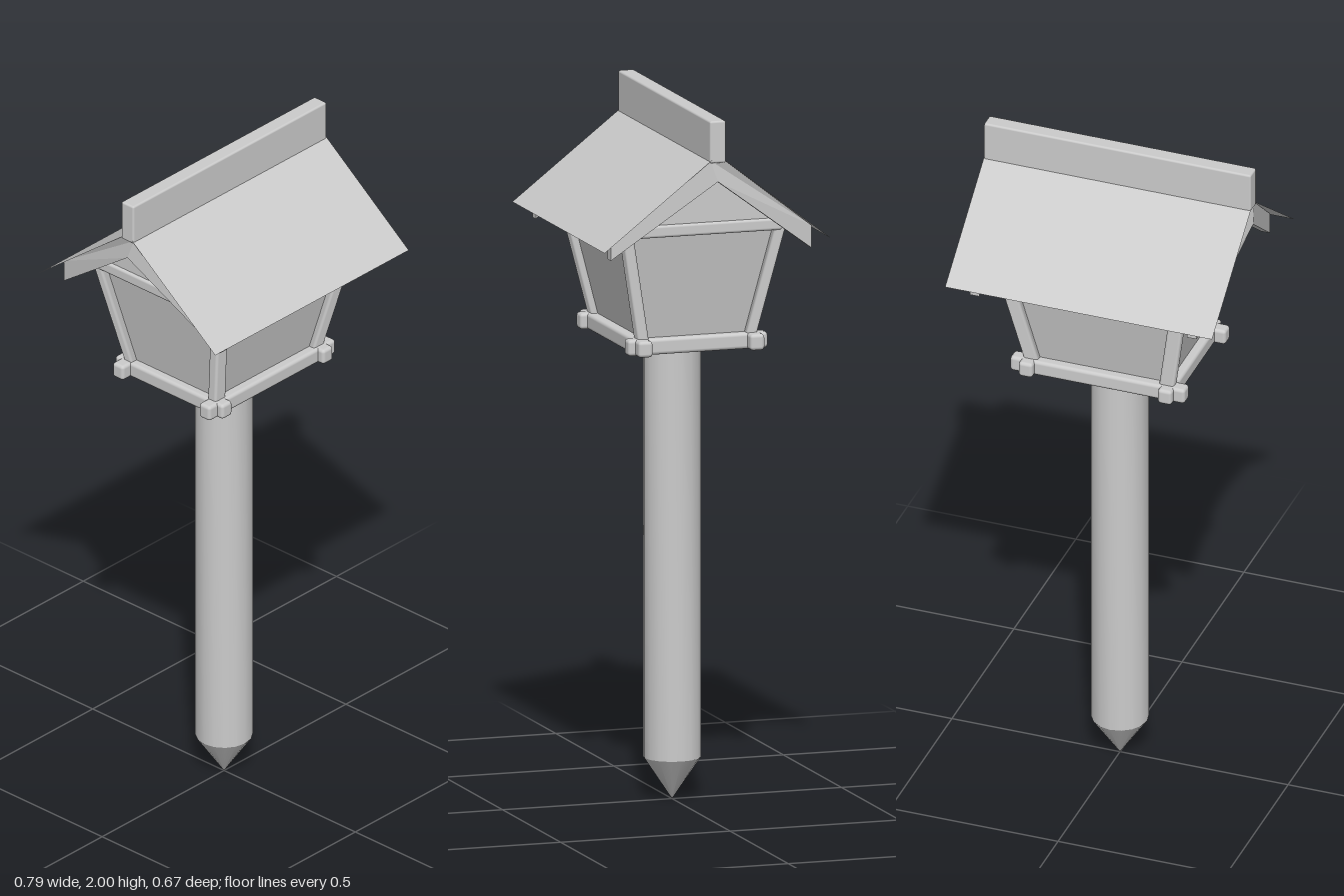
import * as THREE from 'three';
import { toCreasedNormals } from 'three/addons/utils/BufferGeometryUtils.js';
import { RoundedBoxGeometry } from 'three/addons/geometries/RoundedBoxGeometry.js';

const mat = new THREE.MeshStandardMaterial({ color: 0xcccccc });
const thin = new THREE.MeshStandardMaterial({ color: 0xcccccc, side: THREE.DoubleSide });

// move every vertex of a geometry by a rule
function warp(geo, rule) {
  const p = geo.attributes.position, v = new THREE.Vector3();
  for (let i = 0; i < p.count; i++) {
    rule(v.fromBufferAttribute(p, i));
    p.setXYZ(i, v.x, v.y, v.z);
  }
  return geo;
}

export function createModel() {
  const model = new THREE.Group();
  const add = (name, geo, x = 0, y = 0, z = 0, m = mat) => {
    const mesh = new THREE.Mesh(geo, m);
    mesh.name = name;
    mesh.position.set(x, y, z);
    model.add(mesh);
    return mesh;
  };
  const signs = [-1, 1];

  // pointed ground stake
  const profile = [[0, 0], [0.081, 0.12], [0.081, 1.32], [0, 1.32]].map(([x, y]) => new THREE.Vector2(x, y));
  add('stake', toCreasedNormals(new THREE.LatheGeometry(profile, 16), 0.5));

  // floor with crossing beams that overhang at the corners
  add('floor', new THREE.BoxGeometry(0.42, 0.03, 0.33), 0, 1.332, 0);
  for (const s of signs) {
    add('floorBeamLong', new RoundedBoxGeometry(0.52, 0.046, 0.042, 2, 0.01), 0, 1.334, s * 0.165);
    add('floorBeamShort', new RoundedBoxGeometry(0.042, 0.046, 0.412, 2, 0.01), s * 0.207, 1.334, 0);
  }

  // flared lantern panes
  const panes = warp(new THREE.BoxGeometry(2, 0.34, 2), (v) => {
    const t = v.y / 0.34 + 0.5;
    v.x *= 0.198 + 0.062 * t;
    v.z *= 0.152 + 0.07 * t;
  });
  panes.computeVertexNormals();
  add('panes', panes, 0, 1.5, 0);

  // leaning corner posts
  for (const sx of signs) for (const sz of signs) {
    const post = warp(new RoundedBoxGeometry(0.044, 0.38, 0.032, 2, 0.008), (v) => {
      const t = v.y / 0.38 + 0.5;
      v.x += sx * (0.193 + 0.072 * t);
      v.z += sz * (0.15 + 0.08 * t);
    });
    add('cornerPost', post, 0, 1.5, 0);
  }

  // top rails
  for (const s of signs) {
    add('topRailLong', new RoundedBoxGeometry(0.53, 0.035, 0.03, 2, 0.008), 0, 1.672, s * 0.225);
    add('topRailShort', new RoundedBoxGeometry(0.035, 0.035, 0.46, 2, 0.008), s * 0.266, 1.672, 0);
  }

  // gable walls above the rails
  const gable = new THREE.Shape();
  gable.moveTo(-0.225, 1.68);
  gable.lineTo(0.225, 1.68);
  gable.lineTo(0, 1.85);
  for (const s of signs) {
    const wall = new THREE.ExtrudeGeometry(gable, { depth: 0.02, bevelEnabled: false });
    wall.translate(0, 0, -0.01).rotateY(Math.PI / 2);
    add('gableWall', wall, s * 0.265, 0, 0);
  }

  // rafter pairs, leaning outwards towards the peak
  const chevron = new THREE.Shape();
  [[-0.296, 1.61], [0, 1.827], [0.296, 1.61], [0.296, 1.674], [0.02, 1.887], [-0.02, 1.887], [-0.296, 1.674]]
    .forEach(([z, y], i) => (i ? chevron.lineTo(z, y) : chevron.moveTo(z, y)));
  for (const s of signs) {
    const pair = new THREE.ExtrudeGeometry(chevron, { depth: 0.028, bevelEnabled: false });
    pair.translate(0, 0, -0.014).rotateY(Math.PI / 2);
    warp(pair, (v) => { v.x += s * (0.382 - 0.2 * Math.abs(v.z)); });
    pair.computeVertexNormals();
    add('rafterPair', pair);
  }

  // thin roof sheets and ridge board
  const run = 0.335, rise = 0.258;
  for (const s of signs) {
    const sheet = new THREE.PlaneGeometry(0.794, Math.hypot(run, rise));
    sheet.rotateX(-Math.PI / 2).rotateX(Math.atan2(rise, run));
    add('roofSheet', sheet, 0, 1.645 + rise / 2, s * run / 2, thin).rotation.y = s > 0 ? 0 : Math.PI;
  }
  add('ridgeBoard', new RoundedBoxGeometry(0.794, 0.12, 0.047, 2, 0.006), 0, 1.94, 0);

  return model;
}
